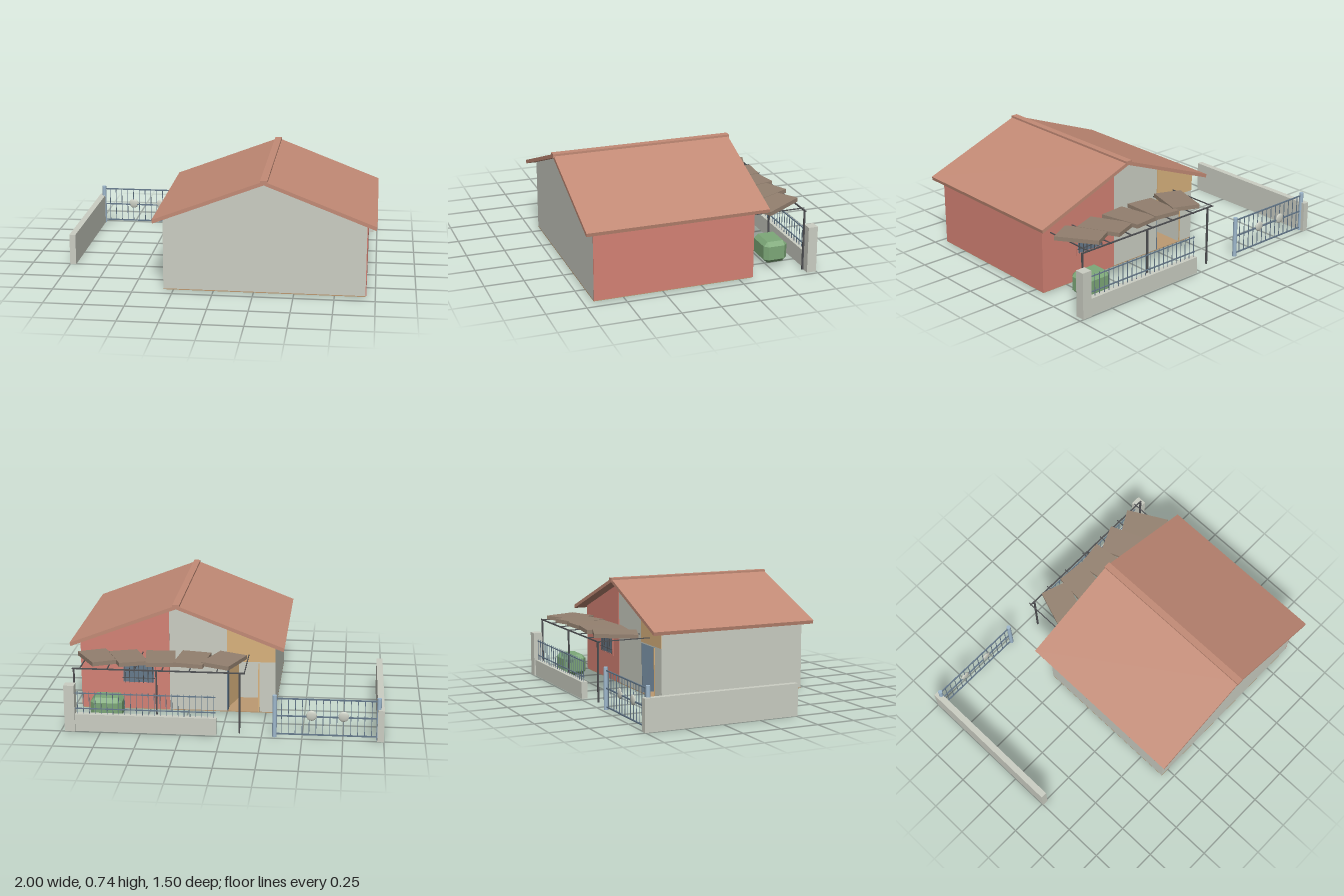
import * as THREE from 'three';
import { ConvexGeometry } from 'three/addons/geometries/ConvexGeometry.js';

const mat = (name, color) => {
  const m = new THREE.MeshStandardMaterial({ color });
  m.name = name;
  return m;
};

export function createModel() {
  const root = new THREE.Group();
  root.name = 'house';
  const plaster = mat('grey plaster', 0xcbcec3);
  const red = mat('red plaster', 0xd48275);
  const tile = mat('roof tile', 0xc38b76);
  const board = mat('weathered board', 0x948170);
  const tan = mat('tan wood', 0xd9b27d);
  const steel = mat('blue steel', 0x9fb9ce);
  const iron = mat('dark iron', 0x505154);
  const rail = mat('slate rail', 0x667a8c);
  const leaf = mat('hedge green', 0x7da878);
  const soil = mat('floor brown', 0xbd9a72);

  const add = (name, geo, m, parent = root) => {
    const mesh = new THREE.Mesh(geo, m);
    mesh.name = name;
    parent.add(mesh);
    return mesh;
  };
  // Box given by its minimum and maximum on each axis
  const box = (name, m, x0, x1, y0, y1, z0, z1, parent) => {
    const mesh = add(name, new THREE.BoxGeometry(x1 - x0, y1 - y0, z1 - z0), m, parent);
    mesh.position.set((x0 + x1) / 2, (y0 + y1) / 2, (z0 + z1) / 2);
    return mesh;
  };
  // Outline in x and y, extruded between two depths
  const slab = (name, m, pts, z0, z1) => {
    const shape = new THREE.Shape(pts.map((p) => new THREE.Vector2(...p)));
    const geo = new THREE.ExtrudeGeometry(shape, { depth: z1 - z0, bevelEnabled: false });
    add(name, geo, m).position.z = z0;
  };
  const ridge = 0.315;
  const under = (x) => 0.708 - 0.385 * Math.abs(x - ridge);
  const at = (x, lift = 0) => [x, under(x) + lift];

  // House body, with a doorway recessed into the back
  slab('houseBody', plaster, [[-0.31, 0.012], [0.94, 0.012], at(0.94), at(ridge), at(-0.31)], -0.07, 0.69);
  slab('backWall', plaster, [[-0.31, 0.012], [-0.2, 0.012], [-0.2, 0.34], [0, 0.34], [0, 0.012],
    [0.94, 0.012], at(0.94), at(ridge), at(-0.31)], -0.33, -0.07);
  box('floor', soil, -0.31, 0.94, 0.006, 0.012, -0.33, 0.69);
  box('redSideWall', red, 0.94, 0.945, 0.012, 0.465, -0.335, 0.69);
  slab('redBackWall', red, [[0.37, 0.012], [0.94, 0.012], at(0.94), at(0.37)], -0.335, -0.33);
  slab('doorLintel', tan, [[-0.31, 0.35], [0, 0.35], at(0), at(-0.31)], -0.335, -0.33);

  // Door standing ajar inside its frame
  box('doorFrame', rail, -0.007, 0, 0.012, 0.34, -0.33, -0.235);
  box('doorJamb', tan, -0.208, -0.2, 0.012, 0.34, -0.335, -0.33);
  const door = box('door', tan, -0.032, -0.024, 0.012, 0.338, -0.24, -0.075);
  door.rotation.y = -0.28;

  // Roof and ridge cap
  slab('roof', tile, [at(-0.365), at(ridge), at(0.995), [1, 0.469], at(ridge, 0.024), [-0.37, 0.469]], -0.41, 0.745);
  box('ridgeCap', tile, 0.293, 0.337, 0.715, 0.737, -0.415, 0.75);

  // Window with a grille
  const windowGroup = new THREE.Group();
  windowGroup.name = 'window';
  root.add(windowGroup);
  box('windowPane', rail, 0.47, 0.67, 0.19, 0.36, -0.338, -0.335, windowGroup);
  for (const x of [0.46, 0.67]) box('windowFrame', red, x, x + 0.012, 0.18, 0.37, -0.342, -0.335, windowGroup);
  for (const y of [0.18, 0.358]) box('windowFrame', red, 0.46, 0.682, y, y + 0.012, -0.342, -0.335, windowGroup);
  for (let i = 0; i < 7; i++) {
    const x = 0.48 + i * 0.03;
    box('grilleBar', iron, x - 0.002, x + 0.002, 0.19, 0.36, -0.346, -0.342, windowGroup);
  }
  for (const y of [0.22, 0.33]) box('grilleRail', iron, 0.465, 0.677, y, y + 0.004, -0.346, -0.342, windowGroup);

  // Pergola posts, beams and loose boards
  for (const x of [-0.11, 0.405, 0.92]) box('pergolaPost', iron, x - 0.005, x + 0.005, 0, 0.39, -0.687, -0.677);
  box('pergolaRail', iron, -0.145, 0.93, 0.388, 0.396, -0.689, -0.681);
  for (let i = 0; i < 7; i++) {
    const x = -0.14 + i * 0.17;
    box('pergolaBeam', iron, x - 0.003, x + 0.003, 0.393, 0.399, -0.7, -0.33);
  }
  const boards = [[0, -0.515, -19], [0.2, -0.513, -5], [0.4, -0.513, 8], [0.605, -0.52, 23], [0.79, -0.522, 30]];
  for (const [x, z, turn] of boards) {
    const b = add('shadeBoard', new THREE.BoxGeometry(0.185, 0.026, 0.285), board);
    b.position.set(x, 0.415, z);
    b.rotation.set(0.04, THREE.MathUtils.degToRad(turn), 0.03, 'YXZ');
  }

  // Rear boundary wall with railing and pillar
  box('rearWall', plaster, 0.03, 0.92, 0, 0.11, -0.74, -0.7);
  box('pillar', plaster, 0.91, 0.975, 0, 0.3, -0.75, -0.688);
  for (const y of [0.14, 0.24]) box('railingRail', rail, 0.035, 0.915, y, y + 0.006, -0.723, -0.717);
  for (let i = 0; i < 24; i++) {
    const x = 0.045 + i * 0.037;
    box('railingBar', rail, x - 0.0017, x + 0.0017, 0.11, 0.255, -0.7217, -0.7183);
  }

  // Side boundary wall
  box('sideWall', plaster, -1, -0.96, 0, 0.202, -0.755, 0.26);

  // Gate
  const gate = new THREE.Group();
  gate.name = 'gate';
  root.add(gate);
  for (const x of [-0.967, -0.33]) {
    add('gatePost', new THREE.CylinderGeometry(0.014, 0.014, 0.27, 12), steel, gate).position.set(x, 0.135, -0.72);
  }
  for (const y of [0.02, 0.138, 0.25]) box('gateRail', rail, -0.96, -0.335, y - 0.004, y + 0.004, -0.724, -0.716, gate);
  for (let i = 1; i < 15; i++) {
    const x = -0.967 + i * 0.0425;
    box('gateBar', rail, x - 0.002, x + 0.002, 0.02, 0.25, -0.722, -0.718, gate);
  }
  for (const x of [-0.753, -0.556]) {
    const disc = add('gateDisc', new THREE.SphereGeometry(0.033, 20, 12), plaster, gate);
    disc.scale.z = 0.3;
    disc.position.set(x, 0.145, -0.722);
  }

  // Hedge: a box with every edge chamfered
  const [hx, hy, hz, c] = [0.1, 0.07, 0.078, 0.026];
  const pts = [];
  for (const sx of [-1, 1]) for (const sy of [-1, 1]) for (const sz of [-1, 1]) {
    pts.push(new THREE.Vector3(sx * hx, sy * (hy - c), sz * (hz - c)));
    pts.push(new THREE.Vector3(sx * (hx - c), sy * hy, sz * (hz - c)));
    pts.push(new THREE.Vector3(sx * (hx - c), sy * (hy - c), sz * hz));
  }
  add('hedge', new ConvexGeometry(pts), leaf).position.set(0.74, 0.1, -0.54);

  return root;
}
